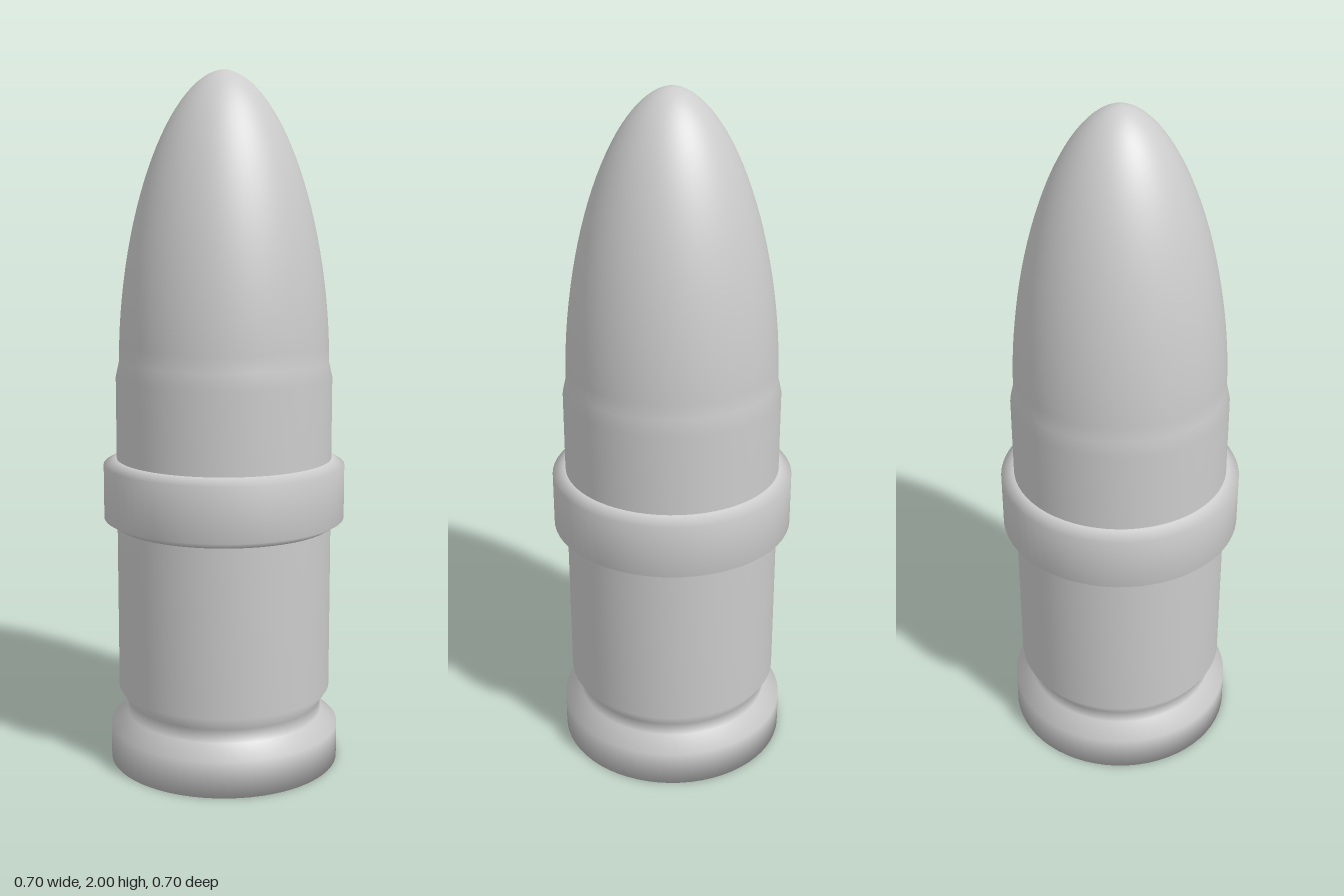
import * as THREE from 'three';

const SEGMENTS = 64;

// Smooth solid of revolution from [radius, height] pairs, listed bottom to top
function turned(name, profile, material) {
  const points = profile.map(([r, y]) => new THREE.Vector2(r, y));
  const mesh = new THREE.Mesh(new THREE.LatheGeometry(points, SEGMENTS), material);
  mesh.name = name;
  return mesh;
}

export function createModel() {
  const metal = new THREE.MeshStandardMaterial({ color: 0xcccccc });
  metal.name = 'light grey metal';

  const group = new THREE.Group();
  group.name = 'cartridge';

  // Rimmed base, groove, straight case and stepped mouth
  const profile = [
    [0, 0], [0.337, 0], [0.337, 0.105], [0.287, 0.14], [0.287, 0.18],
    [0.312, 0.22], [0.312, 1.14], [0.302, 1.185],
  ];

  // Rounded nose, slightly slimmer than an ellipse
  const shoulder = 1.185, noseHeight = 2 - shoulder, steps = 28;
  for (let i = 1; i <= steps; i++) {
    const t = Math.sin((i / steps) * Math.PI / 2);
    const r = i === steps ? 0 : 0.302 * Math.pow(1 - Math.pow(t, 1.85), 0.54);
    profile.push([r, shoulder + noseHeight * t]);
  }
  group.add(turned('caseAndNose', profile, metal));

  // Bevelled band around the middle
  group.add(turned('band', [
    [0.305, 0.71], [0.318, 0.71], [0.35, 0.73],
    [0.35, 0.887], [0.318, 0.905], [0.305, 0.905],
  ], metal));

  return group;
}
